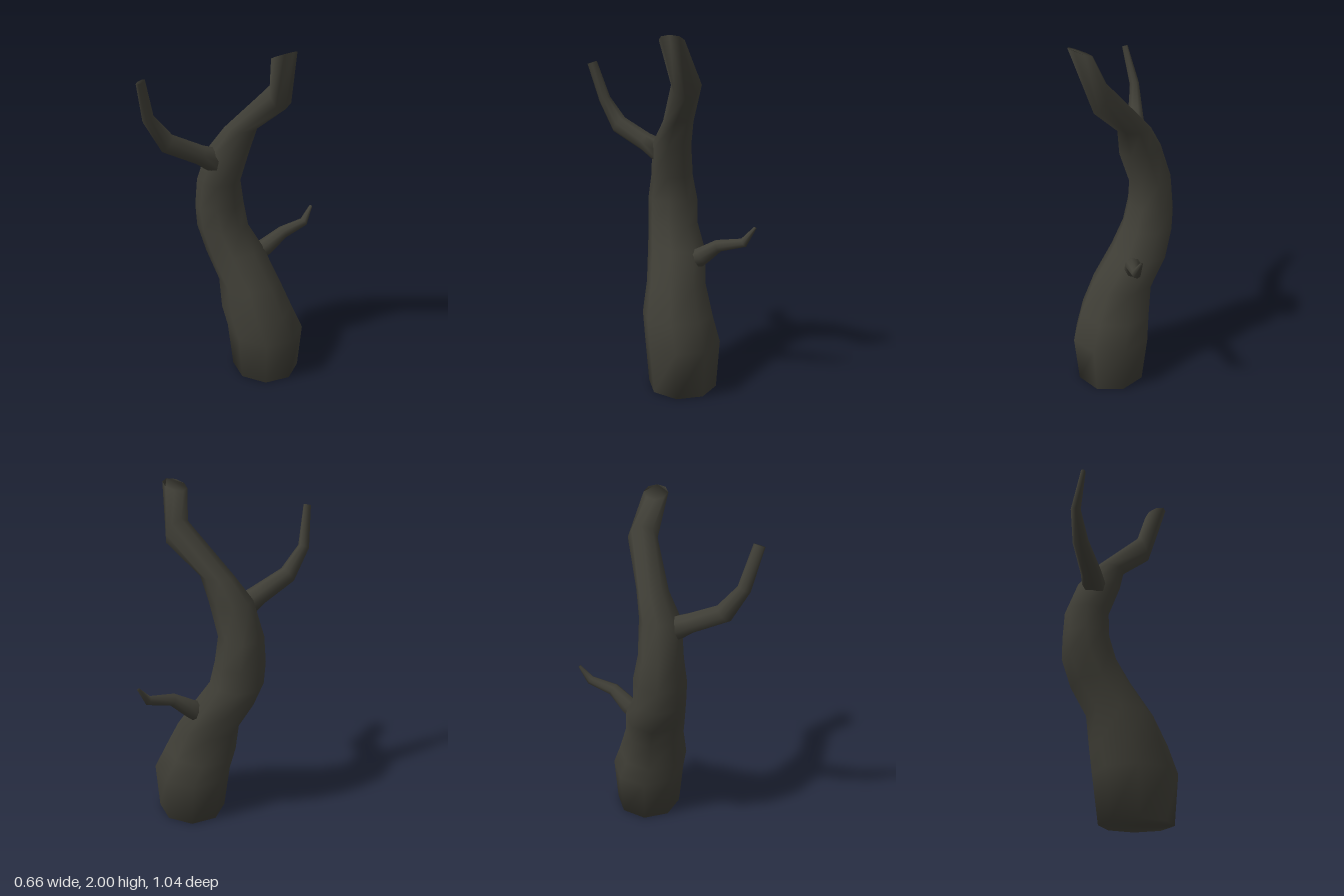
import * as THREE from 'three';

const SIDES = 8;

// Skin a list of rings (each a loop of SIDES points) and close both ends, sharing vertices for smooth shading.
function skin(rings) {
  const pos = [], index = [];
  rings.forEach((ring) => ring.forEach((p) => pos.push(p.x, p.y, p.z)));
  const at = (i, j) => i * SIDES + (j % SIDES);
  for (let i = 0; i < rings.length - 1; i++) {
    for (let j = 0; j < SIDES; j++) {
      const a = at(i, j), b = at(i, j + 1), c = at(i + 1, j), d = at(i + 1, j + 1);
      index.push(a, c, b, b, c, d);
    }
  }
  const last = rings.length - 1;
  for (let j = 1; j < SIDES - 1; j++) {
    index.push(at(0, 0), at(0, j), at(0, j + 1));
    index.push(at(last, 0), at(last, j + 1), at(last, j));
  }
  const geo = new THREE.BufferGeometry();
  geo.setAttribute('position', new THREE.Float32BufferAttribute(pos, 3));
  geo.setIndex(index);
  geo.computeVertexNormals();
  return geo;
}

// Trunk ring from its left and right edge points and its back and front depth.
function trunkRing([xl, yl, xr, yr, zb, zf]) {
  return Array.from({ length: SIDES }, (_, j) => {
    const a = (j / SIDES) * Math.PI * 2, c = Math.cos(a), s = Math.sin(a);
    return new THREE.Vector3(
      (xl + xr) / 2 + (c * (xr - xl)) / 2,
      (yl + yr) / 2 + (c * (yr - yl)) / 2,
      (zb + zf) / 2 + (s * (zf - zb)) / 2
    );
  });
}

// Branch rings stand square to a bent path; each node is x, y, z, side radius, upright radius.
function branchRings(nodes) {
  const pts = nodes.map((n) => new THREE.Vector3(n[0], n[1], n[2]));
  return pts.map((p, i) => {
    const before = pts[Math.max(i - 1, 0)], after = pts[Math.min(i + 1, pts.length - 1)];
    const t = after.clone().sub(before).normalize();
    const u = new THREE.Vector3(1, 0, 0).addScaledVector(t, -t.x).normalize();
    const v = u.clone().cross(t);
    return Array.from({ length: SIDES }, (_, j) => {
      const a = (j / SIDES) * Math.PI * 2;
      return p.clone()
        .addScaledVector(u, Math.cos(a) * nodes[i][3])
        .addScaledVector(v, Math.sin(a) * nodes[i][4]);
    });
  });
}

export function createModel() {
  const group = new THREE.Group();
  const bark = new THREE.MeshStandardMaterial({ color: 0x3f3e36 });
  bark.name = 'darkBark';
  const add = (name, rings) => {
    const mesh = new THREE.Mesh(skin(rings), bark);
    mesh.name = name;
    group.add(mesh);
  };

  // Swollen base, leaning trunk and the main limb it grows into
  add('trunk', [
    [-0.11, 0, 0.30, 0, -0.31, 0.09],
    [-0.147, 0.28, 0.328, 0.28, -0.328, 0.115],
    [-0.165, 0.41, 0.27, 0.43, -0.28, 0.135],
    [-0.185, 0.59, 0.19, 0.6, -0.23, 0.12],
    [-0.275, 0.75, 0.06, 0.79, -0.21, 0.135],
    [-0.33, 0.91, -0.02, 0.92, -0.155, 0.145],
    [-0.33, 1.04, -0.06, 1.06, -0.15, 0.15],
    [-0.322, 1.2, -0.065, 1.2, -0.12, 0.13],
    [-0.25, 1.4, 0.0, 1.38, -0.12, 0.11],
    [-0.165, 1.53, 0.03, 1.53, -0.14, 0.035],
    [0.12, 1.82, 0.19, 1.67, -0.215, -0.05],
    [0.17, 1.95, 0.30, 2.0, -0.135, 0.0],
  ].map(trunkRing));

  // Forked branch rising at the front
  add('frontBranch', branchRings([
    [-0.14, 1.32, 0.02, 0.075, 0.08],
    [-0.175, 1.395, 0.16, 0.06, 0.055],
    [-0.237, 1.487, 0.335, 0.045, 0.055],
    [-0.267, 1.635, 0.43, 0.028, 0.036],
    [-0.23, 1.85, 0.492, 0.014, 0.03],
  ]));

  // Small twig at the back, hooked up at its end
  add('backTwig', branchRings([
    [-0.05, 0.69, -0.1, 0.06, 0.07],
    [-0.005, 0.765, -0.21, 0.05, 0.052],
    [0.04, 0.84, -0.305, 0.04, 0.036],
    [0.077, 0.875, -0.45, 0.026, 0.027],
    [0.078, 0.965, -0.512, 0.01, 0.008],
  ]));

  return group;
}
